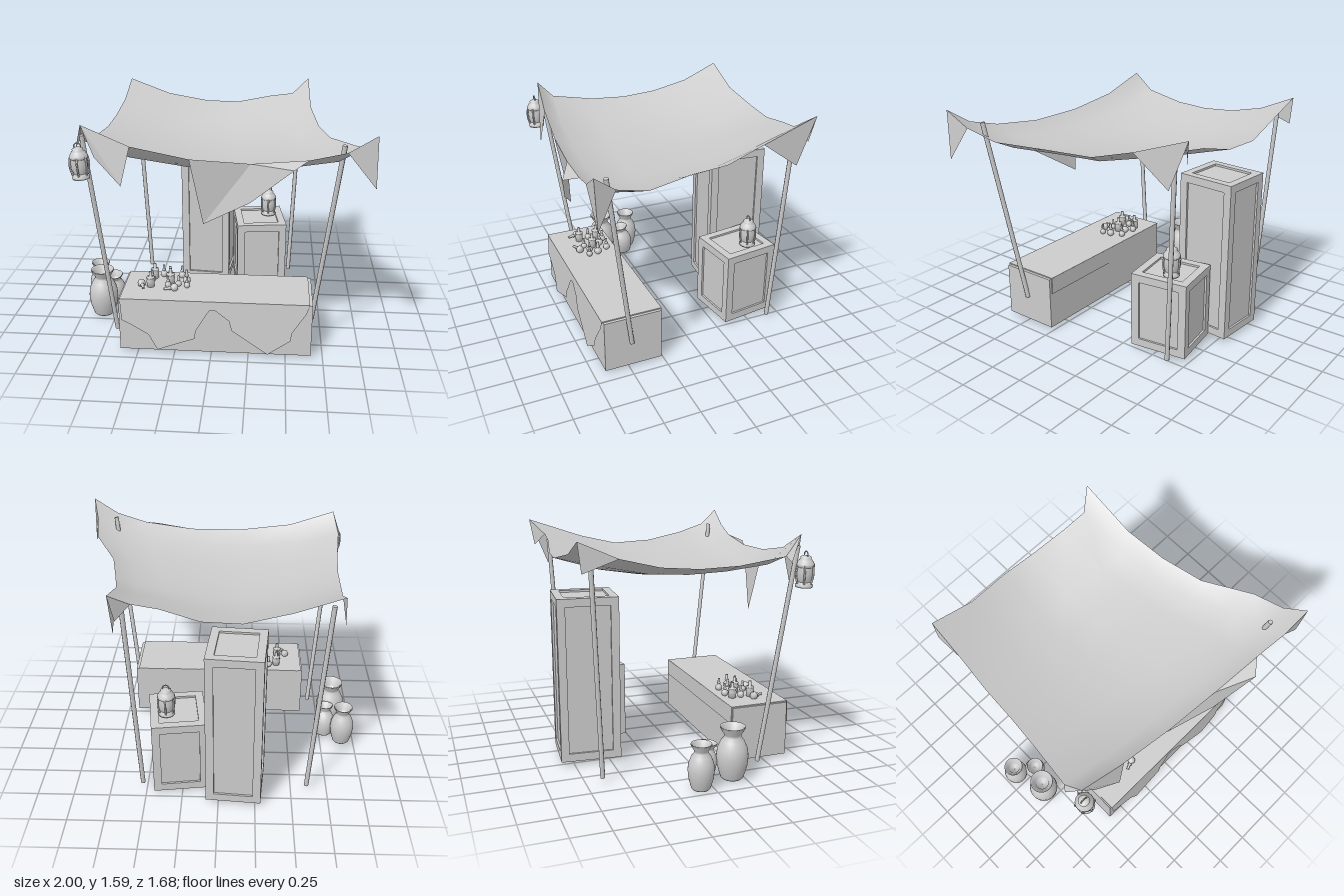
import * as THREE from 'three';

const grey = new THREE.MeshStandardMaterial({ color: 0xcccccc });
const cloth = new THREE.MeshStandardMaterial({ color: 0xcccccc, side: THREE.DoubleSide });
const flatCloth = new THREE.MeshStandardMaterial({ color: 0xcccccc, side: THREE.DoubleSide, flatShading: true });
const V = (p) => new THREE.Vector3(...p);

function add(parent, name, geo, mat = grey, pos = [0, 0, 0]) {
  const m = new THREE.Mesh(geo, mat);
  m.name = name;
  m.position.set(...pos);
  parent.add(m);
  return m;
}

function lathe(pts, segs = 20) {
  return new THREE.LatheGeometry(pts.map((p) => new THREE.Vector2(...p)), segs);
}

// Surface filling four edge polylines, lifted a little in the middle
function patch(front, back, left, right, lift) {
  const n = front.length - 1, pos = [], idx = [];
  for (let j = 0; j <= n; j++) for (let i = 0; i <= n; i++) {
    const u = i / n, v = j / n;
    for (let k = 0; k < 3; k++) {
      const ruled = (1 - v) * back[i][k] + v * front[i][k] + (1 - u) * left[j][k] + u * right[j][k];
      const bil = (1 - v) * ((1 - u) * back[0][k] + u * back[n][k]) + v * ((1 - u) * front[0][k] + u * front[n][k]);
      pos.push(ruled - bil + (k === 1 ? lift * Math.sin(Math.PI * u) * Math.sin(Math.PI * v) : 0));
    }
    if (i < n && j < n) {
      const a = j * (n + 1) + i, b = a + n + 1;
      idx.push(a, b, a + 1, b, b + 1, a + 1);
    }
  }
  const g = new THREE.BufferGeometry();
  g.setAttribute('position', new THREE.Float32BufferAttribute(pos, 3));
  g.setIndex(idx);
  g.computeVertexNormals();
  return g;
}

// Hanging cloth piece: a fan of triangles around the first point
function flap(parent, name, pts) {
  const pos = [];
  for (let i = 1; i < pts.length - 1; i++) pos.push(...pts[0], ...pts[i], ...pts[i + 1]);
  const g = new THREE.BufferGeometry();
  g.setAttribute('position', new THREE.Float32BufferAttribute(pos, 3));
  g.computeVertexNormals();
  add(parent, name, g, flatCloth);
}

function pole(parent, name, a, b) {
  const p = V(a), q = V(b);
  const m = add(parent, name, new THREE.CylinderGeometry(0.016, 0.016, p.distanceTo(q), 8));
  m.position.copy(p).add(q).multiplyScalar(0.5);
  m.quaternion.setFromUnitVectors(new THREE.Vector3(0, 1, 0), q.sub(p).normalize());
}

// Crate with a raised frame on all six faces
function crate(name, w, h, d, border = 0.055, t = 0.014) {
  const g = new THREE.Group();
  g.name = name;
  add(g, 'panels', new THREE.BoxGeometry(w - 2 * t, h - 2 * t, d - 2 * t));
  const rect = (P, a, b) => {
    const p = new P();
    p.moveTo(-a, -b); p.lineTo(a, -b); p.lineTo(a, b); p.lineTo(-a, b); p.closePath();
    return p;
  };
  const faces = [
    [w, h, d, 0, 0], [w, h, d, 0, Math.PI], [d, h, w, 0, Math.PI / 2],
    [d, h, w, 0, -Math.PI / 2], [w, d, h, Math.PI / 2, 0], [w, d, h, -Math.PI / 2, 0],
  ];
  for (const [a, b, depth, rx, ry] of faces) {
    const s = rect(THREE.Shape, a / 2, b / 2);
    s.holes.push(rect(THREE.Path, a / 2 - border, b / 2 - border));
    const geo = new THREE.ExtrudeGeometry(s, { depth: t, bevelEnabled: false });
    geo.translate(0, 0, depth / 2 - t);
    add(g, 'frame', geo).rotation.set(rx, ry, 0);
  }
  return g;
}

// Barrel lantern with bars, domed cap and ring, standing on y = 0
function lantern(name) {
  const g = new THREE.Group();
  g.name = name;
  add(g, 'base', lathe([[0, 0], [0.055, 0], [0.058, 0.012], [0.05, 0.022], [0.048, 0.035], [0, 0.035]], 16));
  add(g, 'glass', lathe([[0.042, 0.03], [0.052, 0.06], [0.055, 0.1], [0.05, 0.14]], 16), cloth);
  add(g, 'cap', lathe([[0.05, 0.128], [0.06, 0.135], [0.058, 0.15], [0.044, 0.172], [0.034, 0.182],
    [0.036, 0.192], [0.024, 0.2], [0, 0.202]], 16), cloth);
  for (let i = 0; i < 6; i++) {
    const a = (i / 6) * Math.PI * 2;
    const path = new THREE.CatmullRomCurve3([[0.05, 0.025], [0.061, 0.07], [0.062, 0.11], [0.055, 0.145]]
      .map(([r, y]) => new THREE.Vector3(Math.sin(a) * r, y, Math.cos(a) * r)));
    add(g, 'bar', new THREE.TubeGeometry(path, 6, 0.0065, 5));
  }
  add(g, 'ring', new THREE.TorusGeometry(0.022, 0.004, 6, 16), grey, [0, 0.207, 0]);
  return g;
}

export function createModel() {
  const root = new THREE.Group();
  root.name = 'marketStall';

  // Sagging canopy
  const front = [[-0.81, 1.57, 0.62], [-0.5, 1.45, 0.66], [-0.13, 1.39, 0.7], [0.25, 1.38, 0.73], [0.6, 1.42, 0.76], [0.82, 1.48, 0.79], [0.99, 1.59, 0.8]];
  const back = [[-0.75, 1.57, -0.8], [-0.45, 1.46, -0.79], [-0.15, 1.4, -0.82], [0.1, 1.4, -0.8], [0.35, 1.46, -0.76], [0.52, 1.485, -0.75], [0.64, 1.585, -0.84]];
  const left = [[-0.75, 1.57, -0.8], [-0.76, 1.46, -0.55], [-0.78, 1.4, -0.3], [-0.79, 1.38, -0.05], [-0.81, 1.39, 0.2], [-0.845, 1.44, 0.5], [-0.81, 1.57, 0.62]];
  const right = [[0.64, 1.585, -0.84], [0.65, 1.45, -0.45], [0.7, 1.38, -0.17], [0.76, 1.385, 0.13], [0.92, 1.42, 0.45], [0.95, 1.48, 0.66], [0.99, 1.59, 0.8]];
  add(root, 'canopy', patch(front, back, left, right, 0.07), cloth);

  // Loose cloth at the corners and along the front
  flap(root, 'frontFlap', [front[3], front[2], [-0.05, 0.94, 0.635], [0.25, 1.14, 0.76], [0.51, 1.38, 0.84], front[4]]);
  flap(root, 'cornerFlap', [front[0], [-0.73, 1.37, 0.64], [-0.56, 1.2, 0.69], front[1]]);
  flap(root, 'cornerFlap', [front[0], left[5], [-0.87, 1.4, 0.53]]);
  flap(root, 'cornerFlap', [front[6], front[5], [1, 1.26, 0.79], right[5]]);
  flap(root, 'cornerFlap', [right[0], right[1], [0.645, 1.26, -0.71]]);
  flap(root, 'cornerFlap', [back[6], back[5], [0.61, 1.4, -0.81]]);
  flap(root, 'cornerFlap', [back[0], [-0.76, 1.38, -0.78], left[1]]);

  // Leaning poles
  pole(root, 'frontPole', [0.675, 0.2, 0.48], [0.812, 1.49, 0.67]);
  pole(root, 'frontPole', [-0.69, 0.03, 0.42], [-0.81, 1.5, 0.6]);
  pole(root, 'backPole', [0.53, 0.03, -0.64], [0.583, 1.44, -0.71]);
  pole(root, 'backPole', [-0.61, 0.03, -0.64], [-0.695, 1.47, -0.71]);

  // Counter and its ragged cloth
  add(root, 'counter', new THREE.BoxGeometry(1.29, 0.376, 0.405), grey, [0.025, 0.208, 0.4675]);
  add(root, 'clothTop', new THREE.BoxGeometry(1.26, 0.008, 0.42), grey, [0.02, 0.4, 0.4685]);
  add(root, 'clothBack', new THREE.BoxGeometry(1.26, 0.12, 0.008), grey, [0.02, 0.342, 0.262]);
  const hem = [[-0.61, 0.4], [-0.6, 0.25], [-0.54, 0.22], [-0.42, 0.15], [-0.36, 0.04], [-0.11, 0.13], [-0.1, 0.19], [-0.01, 0.34],
    [0.03, 0.34], [0.12, 0.27], [0.14, 0.2], [0.38, 0.035], [0.53, 0.14], [0.54, 0.2], [0.63, 0.34], [0.65, 0.4]];
  const clothGeo = new THREE.ShapeGeometry(new THREE.Shape(hem.map((p) => new THREE.Vector2(...p))));
  const cp = clothGeo.attributes.position;
  for (let i = 0; i < cp.count; i++) cp.setZ(i, 0.677 + (0.4 - cp.getY(i)) * 0.07);
  clothGeo.computeVertexNormals();
  add(root, 'clothFront', clothGeo, cloth);

  // Bottles and jars on the counter
  const bottle = [[0, 0], [0.018, 0], [0.026, 0.012], [0.027, 0.032], [0.012, 0.046], [0.01, 0.05], [0.015, 0.054], [0.014, 0.06], [0.009, 0.062], [0.009, 0.095], [0, 0.095]];
  const jar = [[0, 0], [0.026, 0], [0.029, 0.045], [0.023, 0.055], [0.03, 0.062], [0.028, 0.07], [0.01, 0.072], [0.011, 0.108], [0, 0.108]];
  const goods = [[-0.43, 0.48, 1], [-0.43, 0.41, 0], [-0.42, 0.35, 1], [-0.31, 0.48, 0], [-0.3, 0.42, 1], [-0.31, 0.36, 0],
    [-0.24, 0.46, 0], [-0.23, 0.33, 0], [-0.19, 0.41, 0], [-0.18, 0.48, 0], [-0.36, 0.32, 0]];
  goods.forEach(([x, z, kind], i) => {
    const m = add(root, kind ? 'jar' : 'bottle', lathe(kind ? jar : bottle, 12), grey, [x, 0.404, z]);
    m.scale.setScalar(kind ? 1 : 0.8 + 0.1 * (i % 3));
  });
  const lying = [[-0.5, 0.425, 0.46, 1.9], [-0.24, 0.425, 0.52, 0.4]];
  for (const [x, y, z, turn] of lying) {
    add(root, 'lyingBottle', lathe(bottle, 12), grey, [x, y, z]).rotation.set(0, turn, Math.PI / 2);
  }

  // Framed cabinets
  const tall = crate('tallCabinet', 0.372, 1.12, 0.41);
  tall.position.set(-0.118, 0.59, -0.62);
  tall.rotation.y = -0.083;
  const low = crate('lowCabinet', 0.375, 0.535, 0.405);
  low.position.set(0.285, 0.2875, -0.495);
  low.rotation.y = 0.135;
  root.add(tall, low);

  // Lanterns
  const standing = lantern('standingLantern');
  standing.position.set(0.355, 0.552, -0.545);
  const hanging = lantern('hangingLantern');
  hanging.position.set(-0.815, 1.235, 0.65);
  hanging.rotation.z = 0.06;
  root.add(standing, hanging);

  // Clay pots: x, y, z, radius, height, tilt
  const profile = [[0, 0], [0.62, 0], [0.72, 0.03], [0.94, 0.25], [1, 0.43], [0.94, 0.58], [0.72, 0.73], [0.52, 0.8],
    [0.54, 0.85], [0.8, 0.98], [0.78, 1], [0.7, 0.98], [0.44, 0.84], [0.42, 0.79], [0, 0.7]];
  const pots = [[-0.84, 0.01, 0.165, 0.105, 0.355, 0], [-0.91, 0, -0.08, 0.086, 0.305, 0], [-0.785, 0.015, -0.015, 0.076, 0.24, 0.14]];
  for (const [x, y, z, r, h, tilt] of pots) {
    add(root, 'pot', lathe(profile.map(([a, b]) => [a * r, b * h]), 28), cloth, [x, y, z]).rotation.x = tilt;
  }
  return root;
}
